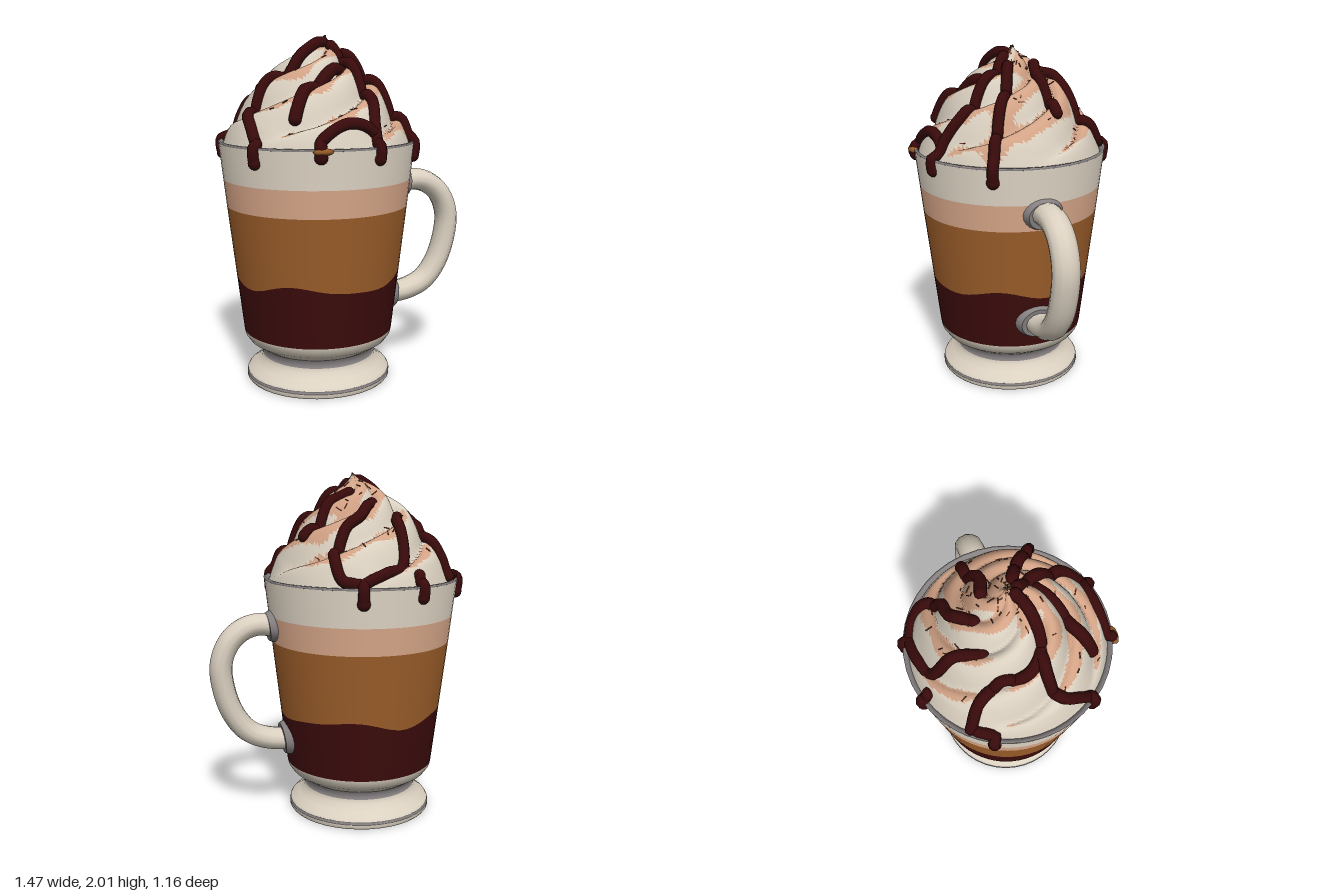
import * as THREE from 'three';
import { mergeGeometries } from 'three/addons/utils/BufferGeometryUtils.js';

const CX = -0.165; // axis of the cup
const mat = (name, color, extra = {}) => {
  const m = new THREE.MeshStandardMaterial({ color, ...extra });
  m.name = name;
  return m;
};
const lerpTable = (table, v) => {
  for (let i = 1; i < table.length; i++) {
    const [a, ya] = table[i - 1], [b, yb] = table[i];
    if (v <= b) return ya + (yb - ya) * Math.max(0, (v - a) / (b - a));
  }
  return table[table.length - 1][1];
};

// Cup wall radius by height, and the wavy top of the syrup by angle
const wall = (y) => lerpTable([[0.3, 0.44], [0.63, 0.478], [1.04, 0.525], [1.41, 0.565]], y);
const wave = (a) => 0.63 + 0.024 * Math.sin(4 * a + 3.57) + 0.008 * Math.sin(7 * a);

// Whipped cream: domed height field with spiral ridges
const DOME = [[0, 2.0], [0.04, 1.965], [0.1, 1.93], [0.17, 1.885], [0.26, 1.81], [0.36, 1.705],
  [0.43, 1.61], [0.49, 1.53], [0.52, 1.46], [0.545, 1.38]];
const creamY = (r, a) => {
  const ridge = Math.abs(Math.sin(2.5 * (a - 8 * r + 0.4)));
  const fade = Math.min(1, r / 0.2) * Math.min(1, Math.max(0, (0.55 - r) / 0.08));
  return lerpTable(DOME, r) - 0.085 * fade * (1 - Math.pow(ridge, 0.8));
};
const creamAt = (x, z) => {
  const r = Math.hypot(x - CX, z);
  return Math.max(r > 0.52 ? 1.42 : 0, creamY(r, Math.atan2(z, x - CX)));
};
const dusted = (x, z, ny) =>
  ny + 0.55 * (x - CX) + 0.22 * Math.sin(9 * x + 2) * Math.cos(8 * z + 1) + 0.1 * Math.sin(23 * x - 17 * z)
    - Math.max(0, Math.hypot(x - CX, z) - 0.42) * 2 > 0.62;

export function createModel() {
  const M = {
    ivory: mat('ivory', 0xdad0c0),
    grey: mat('glass grey', 0x878182, { side: THREE.DoubleSide }),
    peach: mat('peach foam', 0xd3a386),
    caramel: mat('caramel coffee', 0x965a28),
    syrup: mat('chocolate syrup', 0x390a0b),
    fleck: mat('brown fleck', 0x6a3a2a),
  };
  const group = new THREE.Group();
  const add = (name, geo, material, x = 0, y = 0, z = 0) => {
    const m = new THREE.Mesh(geo, material);
    m.name = name;
    m.position.set(x, y, z);
    group.add(m);
    return m;
  };
  const lathe = (name, pts, material) =>
    add(name, new THREE.LatheGeometry(pts.map((p) => new THREE.Vector2(...p)), 40), material, CX);

  // Foot, neck and bowl underside
  lathe('footBottom', [[0, 0.012], [0.38, 0.012], [0.42, 0]], M.grey);
  lathe('footEdge', [[0.42, 0], [0.428, 0.01], [0.428, 0.028]], M.ivory);
  lathe('footGroove', [[0.428, 0.028], [0.422, 0.038], [0.425, 0.045]], M.grey);
  lathe('footSlope', [[0.425, 0.045], [0.415, 0.06], [0.37, 0.09], [0.34, 0.12], [0.335, 0.145]], M.ivory);
  lathe('neck', [[0.335, 0.145], [0.325, 0.165], [0.34, 0.195]], M.grey);
  lathe('bowlUnderside', [[0.34, 0.195], [0.365, 0.21], [0.41, 0.24], [0.435, 0.275], [0.44, 0.3]], M.ivory);

  // Drink layers; a null height follows the wavy syrup line
  const layer = (name, y0, y1, material) => {
    const g = new THREE.LatheGeometry([new THREE.Vector2(1, 0), new THREE.Vector2(1, 1)], 64);
    const p = g.attributes.position;
    for (let i = 0; i < p.count; i++) {
      const a = Math.atan2(p.getX(i), p.getZ(i));
      const y = (p.getY(i) < 0.5 ? y0 : y1) ?? wave(a);
      const r = wall(y);
      p.setXYZ(i, r * Math.sin(a), y, r * Math.cos(a));
    }
    add(name, g, material, CX);
  };
  layer('syrupLayer', 0.3, null, M.syrup);
  layer('coffeeLayer', null, 1.045, M.caramel);
  layer('foamLayer', 1.045, 1.2, M.peach);
  layer('milkLayer', 1.2, 1.405, M.ivory);
  lathe('rim', [[0.565, 1.405], [0.567, 1.415], [0.555, 1.418], [0.54, 1.4], [0.52, 1.37]], M.grey);

  // Handle with collars against the wall
  const handlePath = new THREE.CatmullRomCurve3([[0.32, 1.13], [0.43, 1.155], [0.53, 1.135], [0.62, 1.06],
    [0.67, 0.93], [0.655, 0.77], [0.6, 0.62], [0.52, 0.52], [0.41, 0.47], [0.24, 0.45]]
    .map(([x, y]) => new THREE.Vector3(x, y, 0)));
  add('handle', new THREE.TubeGeometry(handlePath, 40, 0.066, 12), M.ivory).scale.z = 1.22;
  for (const [name, x, y, r] of [['upperCollar', 0.37, 1.14, 0.105], ['lowerCollar', 0.29, 0.46, 0.115]]) {
    const c = add(name, new THREE.CylinderGeometry(r * 0.78, r, 0.055, 24), M.grey, x, y, 0);
    c.rotation.z = -Math.PI / 2 - 0.12;
    c.scale.z = 1.2;
  }

  // Whipped cream swirl, dusted with peach on its upper faces
  const NR = 56, NA = 120, pos = [], tris = [[], []];
  for (let i = 0; i <= NR; i++) for (let j = 0; j < NA; j++) {
    const r = 0.002 + 0.54 * i / NR, a = j / NA * Math.PI * 2;
    pos.push(CX + r * Math.cos(a) + 0.05 * Math.exp(-r * 10), creamY(r, a), r * Math.sin(a));
  }
  const cream = new THREE.BufferGeometry();
  cream.setAttribute('position', new THREE.Float32BufferAttribute(pos, 3));
  const all = [];
  for (let i = 0; i < NR; i++) for (let j = 0; j < NA; j++) {
    const a = i * NA + j, b = i * NA + (j + 1) % NA, c = a + NA, d = b + NA;
    all.push([a, b, c], [b, d, c]);
  }
  cream.setIndex(all.flat());
  cream.computeVertexNormals();
  const n = cream.attributes.normal;
  for (const t of all) {
    const ny = (n.getY(t[0]) + n.getY(t[1]) + n.getY(t[2])) / 3;
    tris[dusted(pos[t[0] * 3], pos[t[0] * 3 + 2], ny) ? 1 : 0].push(...t);
  }
  cream.setIndex([...tris[0], ...tris[1]]);
  cream.addGroup(0, tris[0].length, 0);
  cream.addGroup(tris[0].length, tris[1].length, 1);
  add('whippedCream', cream, [M.ivory, M.peach]);

  // Flecks lying on the dusted cream
  let seed = 7;
  const rnd = () => (seed = (seed * 16807) % 2147483647) / 2147483647;
  const flecks = [], o = new THREE.Object3D();
  for (let k = 0; k < 90; k++) {
    const t = Math.floor(rnd() * tris[1].length / 3) * 3, v = tris[1][t];
    const nv = new THREE.Vector3().fromBufferAttribute(n, v);
    o.position.set(pos[v * 3], pos[v * 3 + 1], pos[v * 3 + 2]).addScaledVector(nv, 0.002);
    o.lookAt(o.position.clone().add(nv));
    o.rotateZ(rnd() * 6.3);
    o.updateMatrix();
    flecks.push(new THREE.BoxGeometry(0.015 + 0.025 * rnd(), 0.005, 0.005).applyMatrix4(o.matrix));
  }
  add('flecks', mergeGeometries(flecks), M.fleck);

  // Syrup drizzles: plan paths laid over the cream, some dripping over the rim
  const drizzle = (path, dripY, radius = 0.033) => {
    const plan = new THREE.CatmullRomCurve3(path.map(([x, z]) => new THREE.Vector3(x, 0, z)));
    const count = path.length * 5;
    const pts = plan.getSpacedPoints(count).map((p) => p.setY(creamAt(p.x, p.z) + 0.012));
    if (dripY) {
      const e = path[path.length - 1], a = Math.atan2(e[1], e[0] - CX);
      for (const [r, y] of [[0.562, 1.415], [0.562, (1.41 + dripY) / 2], [0.555, dripY + 0.035]])
        pts.push(new THREE.Vector3(CX + r * Math.cos(a), y, r * Math.sin(a)));
    }
    const curve = new THREE.CatmullRomCurve3(pts);
    const parts = [new THREE.TubeGeometry(curve, count * 2, radius, 8)];
    [pts[0], pts[pts.length - 1]].forEach((p, i) => parts.push(
      new THREE.SphereGeometry(radius * (i && dripY ? 1.15 : 1), 10, 8).translate(p.x, p.y, p.z)));
    add('syrupDrizzle', mergeGeometries(parts), M.syrup);
  };
  drizzle([[-0.1, 0.06], [-0.04, 0.15], [0, 0.25], [0.04, 0.35], [0.02, 0.45], [0.02, 0.52]], 1.32);
  drizzle([[-0.03, 0.06], [0.09, 0.12], [0.19, 0.2], [0.29, 0.26]], 1.3);
  drizzle([[-0.06, -0.11], [0.04, -0.09], [0.13, -0.13], [0.21, -0.14]]);
  drizzle([[-0.32, -0.18], [-0.28, -0.3], [-0.27, -0.43], [-0.16, -0.49], [-0.02, -0.51]], 1.3);
  drizzle([[0.0, -0.5], [0.09, -0.45], [0.1, -0.36], [0.02, -0.3], [-0.08, -0.28], [-0.17, -0.18]]);
  drizzle([[-0.14, 0.04], [-0.25, 0.09], [-0.38, 0.1], [-0.47, 0.01], [-0.46, -0.14], [-0.51, -0.26],
    [-0.58, -0.33]]);
  drizzle([[-0.4, 0.09], [-0.52, 0.1], [-0.6, 0.16], [-0.6, 0.26], [-0.59, 0.32]], 1.3);
  drizzle([[-0.08, 0.17], [-0.2, 0.25], [-0.3, 0.3], [-0.4, 0.38]], 0, 0.036);
  drizzle([[0.0, 0.47], [-0.15, 0.49], [-0.3, 0.51]], 1.34);
  drizzle([[-0.34, -0.49], [-0.345, -0.51]], 1.32);
  drizzle([[-0.6, -0.3], [-0.65, -0.22]], 1.3);

  // Caramel drop at the front rim
  add('caramelDrop', new THREE.SphereGeometry(0.04, 12, 8), M.caramel, -0.3, 1.405, 0.555).scale.set(1.4, 0.5, 0.7);
  return group;
}
